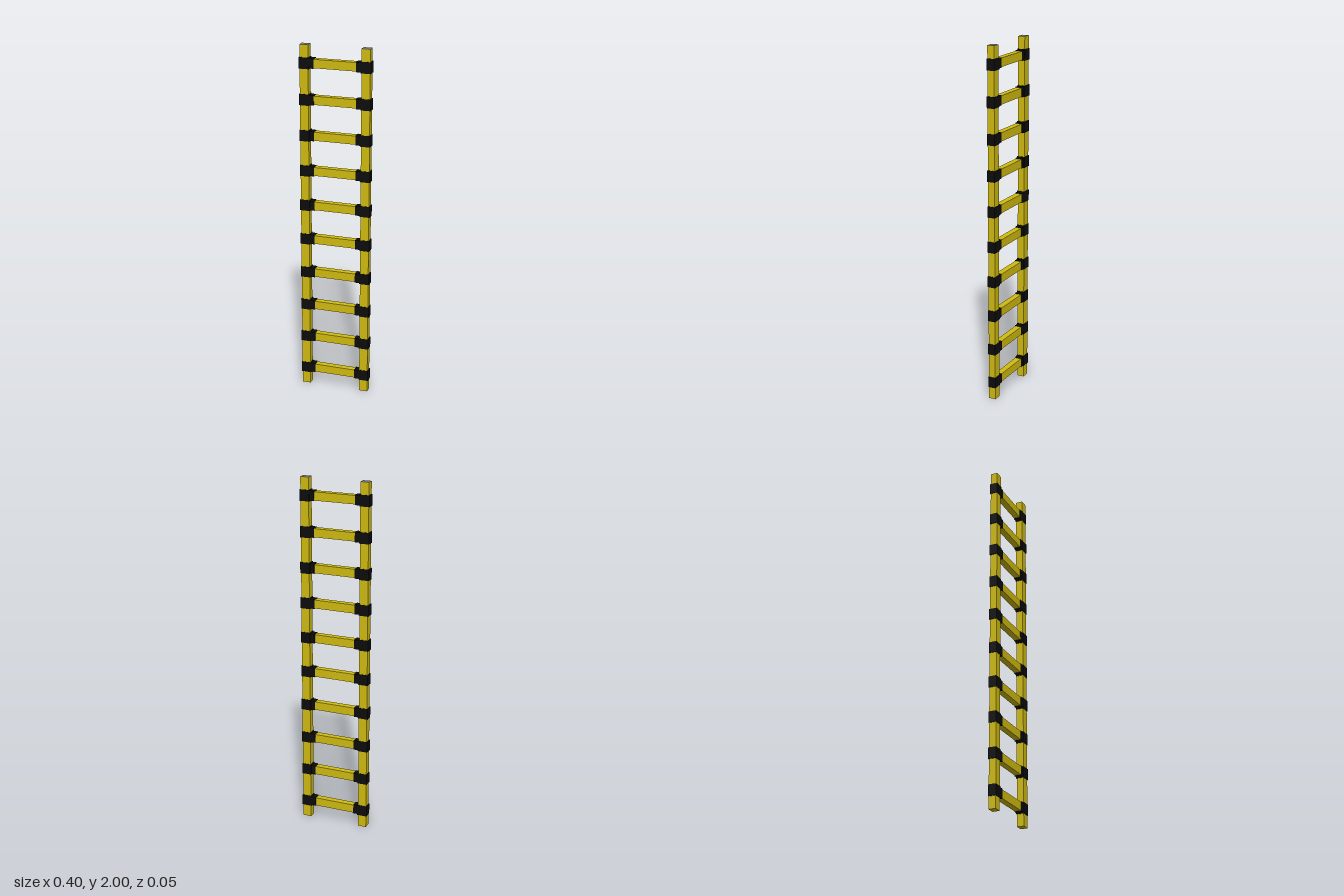
import * as THREE from 'three';

const material = (color) => new THREE.MeshStandardMaterial({ color });

export function createModel() {
  const model = new THREE.Group();
  model.name = 'ladder';
  const yellow = material(0xd0bb10);
  const black = material(0x0c0c0c);
  const grey = material(0x80869a);

  const addBox = (parent, name, size, position, mat) => {
    const mesh = new THREE.Mesh(new THREE.BoxGeometry(...size), mat);
    mesh.name = name;
    mesh.position.set(...position);
    parent.add(mesh);
    return mesh;
  };

  const railX = 0.172;
  const rungCount = 10;
  const rungSpacing = 0.2;

  // Side rails, with grey faces on the upper ends
  for (const [side, s] of [['left', 1], ['right', -1]]) {
    // Box face order: +x, -x, +y, -y, +z, -z
    const faces = [yellow, yellow, grey, yellow, yellow, yellow];
    addBox(model, `${side}Rail`, [0.048, 2, 0.04], [s * railX, 1, 0], faces);
  }

  // Rungs, each held by a collar and a socket at both ends
  for (let i = 0; i < rungCount; i++) {
    const step = new THREE.Group();
    step.name = `step${i + 1}`;
    step.position.y = rungSpacing * (i + 0.5);
    addBox(step, 'rung', [0.3, 0.048, 0.036], [0, 0, 0], yellow);
    for (const [side, s] of [['left', 1], ['right', -1]]) {
      addBox(step, `${side}Collar`, [0.056, 0.062, 0.045], [s * railX, 0, 0], black);
      addBox(step, `${side}Socket`, [0.03, 0.054, 0.04], [s * 0.133, 0, 0], black);
    }
    model.add(step);
  }

  return model;
}
